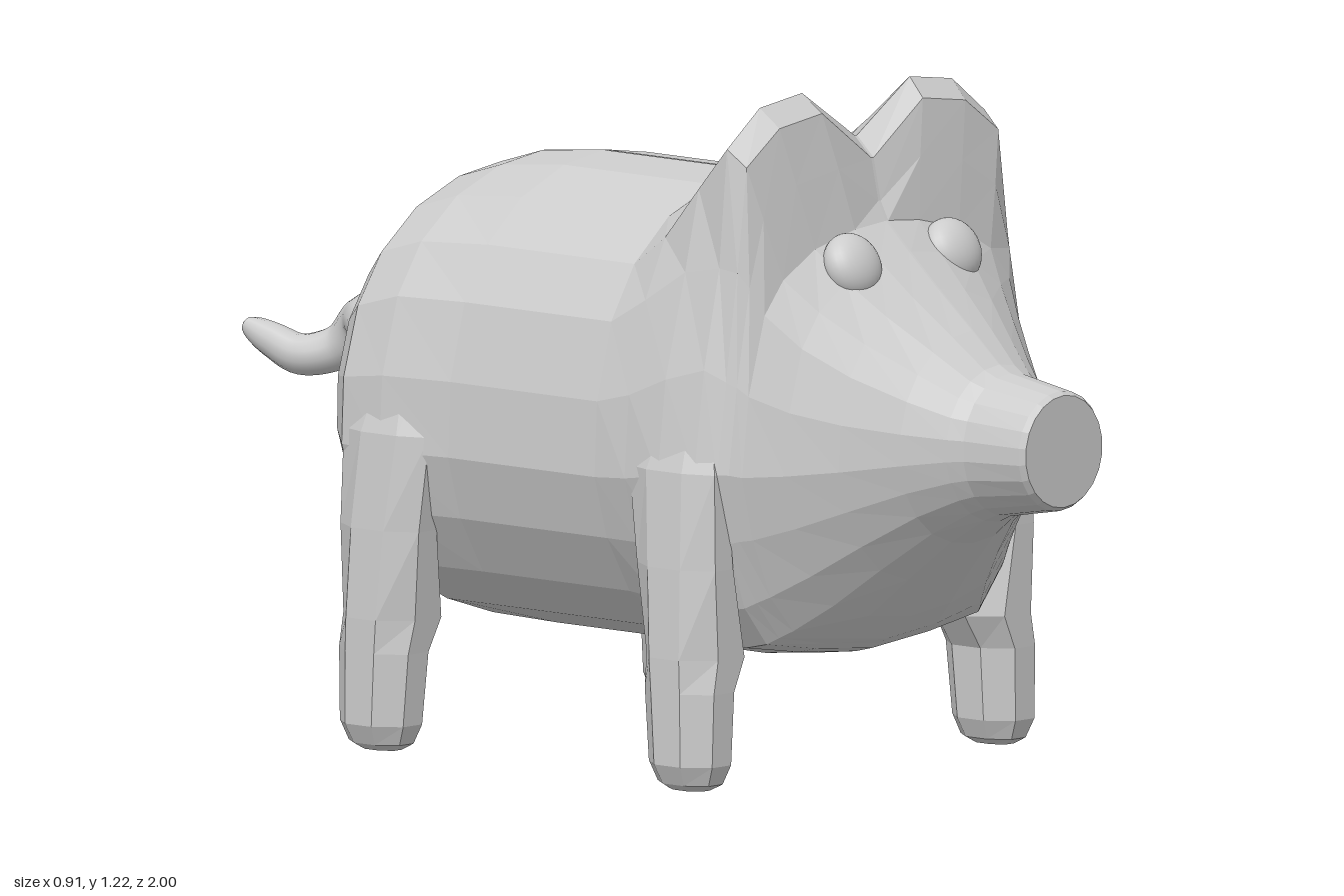
import * as THREE from 'three';

const flat = new THREE.MeshStandardMaterial({ color: 0xcccccc, flatShading: true });
const smooth = new THREE.MeshStandardMaterial({ color: 0xcccccc });

// Skin a list of equal-length point rings and cap both ends
function loft(rings) {
  const n = rings[0].length, pos = rings.flat(2), idx = [];
  for (let i = 0; i < rings.length - 1; i++) {
    for (let j = 0; j < n; j++) {
      const a = i * n + j, b = i * n + (j + 1) % n, d = a + n, c = b + n;
      idx.push(a, d, b, b, d, c);
    }
  }
  for (const r of [0, rings.length - 1]) {
    const center = pos.length / 3;
    for (let c = 0; c < 3; c++) pos.push(rings[r].reduce((s, p) => s + p[c], 0) / n);
    for (let j = 0; j < n; j++) {
      const a = r * n + j, b = r * n + (j + 1) % n;
      if (r === 0) idx.push(center, a, b); else idx.push(center, b, a);
    }
  }
  const g = new THREE.BufferGeometry();
  g.setAttribute('position', new THREE.Float32BufferAttribute(pos, 3));
  g.setIndex(idx);
  const out = g.toNonIndexed();
  out.computeVertexNormals();
  return out;
}

function part(name, geometry, material) {
  const m = new THREE.Mesh(geometry, material);
  m.name = name;
  return m;
}

// Half outline of the shoulders, bottom to top: x and y as fractions of width and height
const PROFILE = [[0, -1], [0.36, -0.96], [0.68, -0.9], [0.82, -0.7], [0.93, -0.36], [1, 0],
  [0.94, 0.38], [0.82, 0.75], [0.7, 0.86], [0.48, 0.95], [0.2, 0.99], [0.008, 1]];
// Ear outline that replaces the last points of the profile, from the side to the middle notch
const EAR = [[0.355, 0.93], [0.335, 1.14], [0.25, 1.205], [0.14, 1.22], [0.003, 1.13]];

// One body ring; round blends to an ellipse, ear raises the ears, slot sinks the centre line
function bodyRing({ z, top, mid, bottom, w, round = 0, ear = 0, slot = 0 }) {
  const last = PROFILE.length - 1;
  const half = PROFILE.map(([px, py], i) => {
    const a = i === last ? Math.PI / 2 - 0.008 : -Math.PI / 2 + (i / last) * Math.PI;
    const ry = THREE.MathUtils.lerp(py, Math.sin(a), round);
    let x = w * THREE.MathUtils.lerp(px, Math.cos(a), round);
    let y = mid + ry * (ry > 0 ? top - mid : mid - bottom);
    const e = i - (PROFILE.length - EAR.length);
    if (e >= 0) {
      const k = i === last ? ear * ear : ear;
      x = THREE.MathUtils.lerp(x, EAR[e][0], k);
      y = THREE.MathUtils.lerp(y, EAR[e][1], k);
    }
    return [x, y, z];
  });
  const mirrored = half.slice(1).reverse().map(([x, y]) => [-x, y, z]);
  return [...half, [0, half[last][1] - slot, z], ...mirrored];
}

function buildBody() {
  const barrel = { top: 1.045, mid: 0.58, bottom: 0.2, w: 0.413, round: 0.75 };
  return loft([
    // snout
    { z: 1.0, top: 0.715, mid: 0.615, bottom: 0.515, w: 0.1, round: 1 },
    { z: 0.99, top: 0.722, mid: 0.615, bottom: 0.508, w: 0.108, round: 1 },
    { z: 0.87, top: 0.742, mid: 0.615, bottom: 0.487, w: 0.122, round: 1 },
    // face
    { z: 0.845, top: 0.755, mid: 0.615, bottom: 0.475, w: 0.14, round: 1 },
    { z: 0.78, top: 0.81, mid: 0.61, bottom: 0.43, w: 0.19, round: 0.9 },
    { z: 0.7, top: 0.875, mid: 0.6, bottom: 0.355, w: 0.262, round: 0.7 },
    { z: 0.63, top: 0.935, mid: 0.59, bottom: 0.285, w: 0.325, round: 0.5 },
    { z: 0.575, top: 0.985, mid: 0.578, bottom: 0.24, w: 0.378, round: 0.25 },
    // ears
    { z: 0.557, top: 0.995, mid: 0.575, bottom: 0.23, w: 0.393, round: 0.1, ear: 0.42 },
    { z: 0.54, top: 1.0, mid: 0.57, bottom: 0.22, w: 0.405, ear: 0.85 },
    { z: 0.5, top: 1.05, mid: 0.57, bottom: 0.21, w: 0.42, ear: 1 },
    { z: 0.42, top: 1.05, mid: 0.57, bottom: 0.2, w: 0.43, round: 0.2, ear: 0.55 },
    { z: 0.33, top: 1.048, mid: 0.575, bottom: 0.2, w: 0.42, round: 0.55, ear: 0.17 },
    // barrel with the coin slot
    { z: 0.251, ...barrel },
    { z: 0.25, ...barrel, slot: 0.02 },
    { z: -0.1, ...barrel, slot: 0.02 },
    { z: -0.101, ...barrel },
    { z: -0.25, top: 1.03, mid: 0.575, bottom: 0.205, w: 0.43, round: 0.7 },
    // rump
    { z: -0.35, top: 1.0, mid: 0.58, bottom: 0.235, w: 0.42, round: 0.8 },
    { z: -0.43, top: 0.93, mid: 0.59, bottom: 0.3, w: 0.345, round: 0.9 },
    { z: -0.5, top: 0.835, mid: 0.61, bottom: 0.4, w: 0.245, round: 1 },
    { z: -0.56, top: 0.745, mid: 0.63, bottom: 0.51, w: 0.135, round: 1 },
    { z: -0.6, top: 0.705, mid: 0.645, bottom: 0.58, w: 0.07, round: 1 },
    { z: -0.63, top: 0.69, mid: 0.645, bottom: 0.6, w: 0.045, round: 1 },
  ].map(bodyRing));
}

// Eight-sided leg; outer z edge stays upright, the edge facing the belly flares upward
function buildLeg(side, edge, dir) {
  const levels = [ // y, inner x, outer x, depth, inset of the outer z edge
    [0.68, 0.35, 0.392, 0.17, 0.04],
    [0.57, 0.36, 0.432, 0.21, 0.005],
    [0.4, 0.335, 0.447, 0.188, 0],
    [0.24, 0.29, 0.455, 0.172, 0],
    [0.18, 0.328, 0.455, 0.166, 0],
    [0.05, 0.335, 0.454, 0.155, 0.003],
    [0.015, 0.35, 0.438, 0.14, 0.018],
    [0.003, 0.37, 0.42, 0.12, 0.04],
  ];
  return loft(levels.map(([y, xi, xo, depth, inset]) => {
    const cx = side * (xi + xo) / 2, rx = (xo - xi) / 2;
    const cz = edge + dir * (inset + depth) / 2, rz = (depth - inset) / 2;
    return Array.from({ length: 8 }, (_, i) => {
      const a = (i + 0.5) * Math.PI / 4, k = 1 / Math.cos(Math.PI / 8);
      return [cx + rx * k * Math.cos(a), y, cz - rz * k * Math.sin(a)];
    });
  }));
}

// Wavy tail, a tube narrowed ring by ring to a rounded tip
function buildTail() {
  const path = new THREE.CatmullRomCurve3([
    [-0.005, 0.645, -0.6], [0, 0.66, -0.64], [0.03, 0.678, -0.69], [0.07, 0.668, -0.745],
    [0.075, 0.62, -0.8], [0.045, 0.6, -0.87], [0.035, 0.62, -0.93], [0.03, 0.647, -0.998],
  ].map(p => new THREE.Vector3(...p)));
  const steps = 48, sides = 12;
  const g = new THREE.TubeGeometry(path, steps, 1, sides);
  const p = g.attributes.position, v = new THREE.Vector3();
  for (let i = 0; i <= steps; i++) {
    const t = i / steps, c = path.getPointAt(t);
    const r = (0.054 - 0.024 * t) * Math.sqrt(Math.max(0, 1 - t ** 12));
    for (let j = 0; j <= sides; j++) {
      const k = i * (sides + 1) + j;
      v.fromBufferAttribute(p, k).sub(c).multiplyScalar(r).add(c);
      p.setXYZ(k, v.x, v.y, v.z);
    }
  }
  return g;
}

export function createModel() {
  const model = new THREE.Group();
  model.name = 'piggyBank';
  model.add(part('body', buildBody(), flat), part('tail', buildTail(), smooth));

  for (const [side, label] of [[1, 'left'], [-1, 'right']]) {
    model.add(part(label + 'FrontLeg', buildLeg(side, 0.545, -1), flat));
    model.add(part(label + 'RearLeg', buildLeg(side, -0.355, 1), flat));

    const eye = part(label + 'Eye', new THREE.SphereGeometry(1, 28, 18), smooth);
    eye.scale.set(0.06, 0.06, 0.04);
    eye.position.set(side * 0.13, 0.922, 0.612);
    eye.rotation.x = -0.45;
    model.add(eye);
  }
  return model;
}
